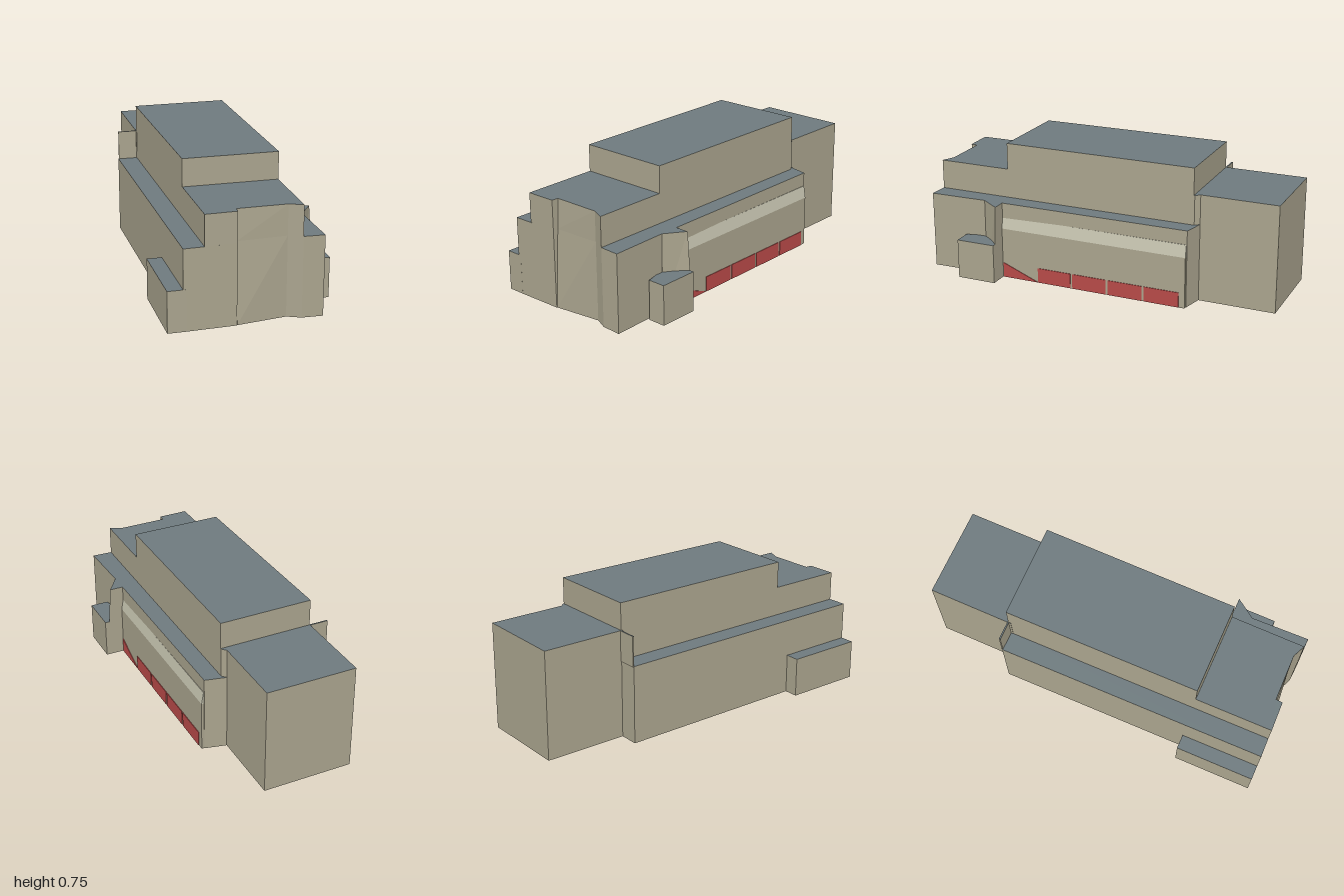
import * as THREE from 'three';

const mat = (name, color) => {
  const m = new THREE.MeshStandardMaterial({ color });
  m.name = name;
  return m;
};

// Faceted block between a bottom outline and a top outline of [x, z] points
function loft(name, bottom, top, y0, y1, wall, roof) {
  const flat = (pts) => pts.map(([x, z]) => new THREE.Vector2(x, -z));
  if (THREE.ShapeUtils.isClockWise(flat(bottom))) {
    bottom = [...bottom].reverse();
    top = [...top].reverse();
  }
  const pos = [];
  const add = ([x, z], y) => pos.push(x, y, z);
  const n = bottom.length;
  for (let i = 0; i < n; i++) {
    const j = (i + 1) % n;
    add(bottom[i], y0); add(bottom[j], y0); add(top[j], y1);
    add(bottom[i], y0); add(top[j], y1); add(top[i], y1);
  }
  for (const [a, b, c] of THREE.ShapeUtils.triangulateShape(flat(bottom), [])) {
    add(bottom[a], y0); add(bottom[c], y0); add(bottom[b], y0);
  }
  const wallCount = pos.length / 3;
  for (const t of THREE.ShapeUtils.triangulateShape(flat(top), [])) {
    t.forEach((k) => add(top[k], y1));
  }
  const geo = new THREE.BufferGeometry();
  geo.setAttribute('position', new THREE.Float32BufferAttribute(pos, 3));
  geo.addGroup(0, wallCount, 0);
  geo.addGroup(wallCount, pos.length / 3 - wallCount, 1);
  geo.computeVertexNormals();
  const mesh = new THREE.Mesh(geo, [wall, roof]);
  mesh.name = name;
  return mesh;
}

const rect = (x0, x1, z0, z1) => [[x0, z0], [x1, z0], [x1, z1], [x0, z1]];

export function createModel() {
  const model = new THREE.Group();
  model.name = 'building';
  const wall = mat('stoneWall', 0xaaa48e);
  const roof = mat('slateRoof', 0x6e7a7e);
  const pale = mat('paleTrim', 0xc6c4b0);
  const red = mat('redPanel', 0xb84a48);
  const block = (name, outline, y0, y1) =>
    model.add(loft(name, outline, outline, y0, y1, wall, roof));

  // The front has a shallow recess that deepens toward the roof
  const front = (y) => {
    const t = y / 0.6;
    return [[-0.1, 0.993], [-0.098, 0.99 - 0.035 * t], [0.168, 0.953], [0.24, 0.985]];
  };

  // Lower storey, as wide as the whole building
  const lower = (y) => [
    [-0.375, 1], ...front(y), [0.352, 0.99], [0.343, 0.66], [0.338, -0.543],
    [0.22, -0.57], [-0.28, -0.535], [-0.393, -0.535],
  ];
  model.add(loft('lowerStorey', lower(0), lower(0.435), 0, 0.435, wall, roof));

  // Narrower middle storey
  const middle = (y) => [
    [-0.267, 0.997], ...front(y), [0.242, -0.545], [0.22, -0.57], [-0.283, -0.535],
  ];
  model.add(loft('middleStorey', middle(0.435), middle(0.6), 0.435, 0.6, wall, roof));

  // Top storey, set back from the front
  block('topStorey', [[-0.272, 0.565], [0.242, 0.565], [0.242, -0.54], [-0.283, -0.535]], 0.6, 0.75);

  // Rear annex and the thin parapet beside it
  block('rearAnnex', rect(-0.285, 0.22, -1, -0.52), 0, 0.6);
  block('rearParapet', rect(-0.39, -0.28, -0.54, -0.532), 0.43, 0.6);

  // Low side wings near the front
  block('rightWing', [[-0.46, 0.555], [-0.36, 0.555], [-0.36, 1], [-0.456, 1]], 0, 0.223);
  block('leftWing', [[0.34, 0.55], [0.46, 0.55], [0.46, 0.775], [0.36, 0.775], [0.342, 0.7]], 0, 0.223);

  // Angled wing wall, leaning in slightly toward its top
  model.add(loft('angledWing',
    [[0.33, 0.66], [0.345, 0.66], [0.452, 0.55], [0.33, 0.55]],
    [[0.33, 0.66], [0.343, 0.66], [0.42, 0.55], [0.33, 0.55]], 0, 0.435, wall, roof));

  // Long side bay, with a pale sloping ledge on top
  block('sideBay', rect(0.32, 0.353, -0.54, 0.55), 0, 0.288);
  model.add(loft('slopingLedge', rect(0.32, 0.353, -0.54, 0.55),
    rect(0.32, 0.341, -0.54, 0.55), 0.288, 0.357, pale, pale));

  // Red panels along the foot of the side bay
  const panels = new THREE.Group();
  panels.name = 'redPanels';
  for (let i = 0; i < 4; i++) {
    const panel = new THREE.Mesh(new THREE.BoxGeometry(0.006, 0.085, 0.2), red);
    panel.name = 'redPanel';
    panel.position.set(0.3535, 0.0435, 0.23 - i * 0.212);
    panels.add(panel);
  }
  const tri = new THREE.Shape([[-0.545, 0.001], [-0.33, 0.001], [-0.545, 0.086]]
    .map(([x, y]) => new THREE.Vector2(x, y)));
  const corner = new THREE.Mesh(new THREE.ExtrudeGeometry(tri, { depth: 0.006, bevelEnabled: false }), red);
  corner.name = 'triangularPanel';
  corner.rotation.y = Math.PI / 2;
  corner.position.x = 0.3505;
  panels.add(corner);
  model.add(panels);

  return model;
}
